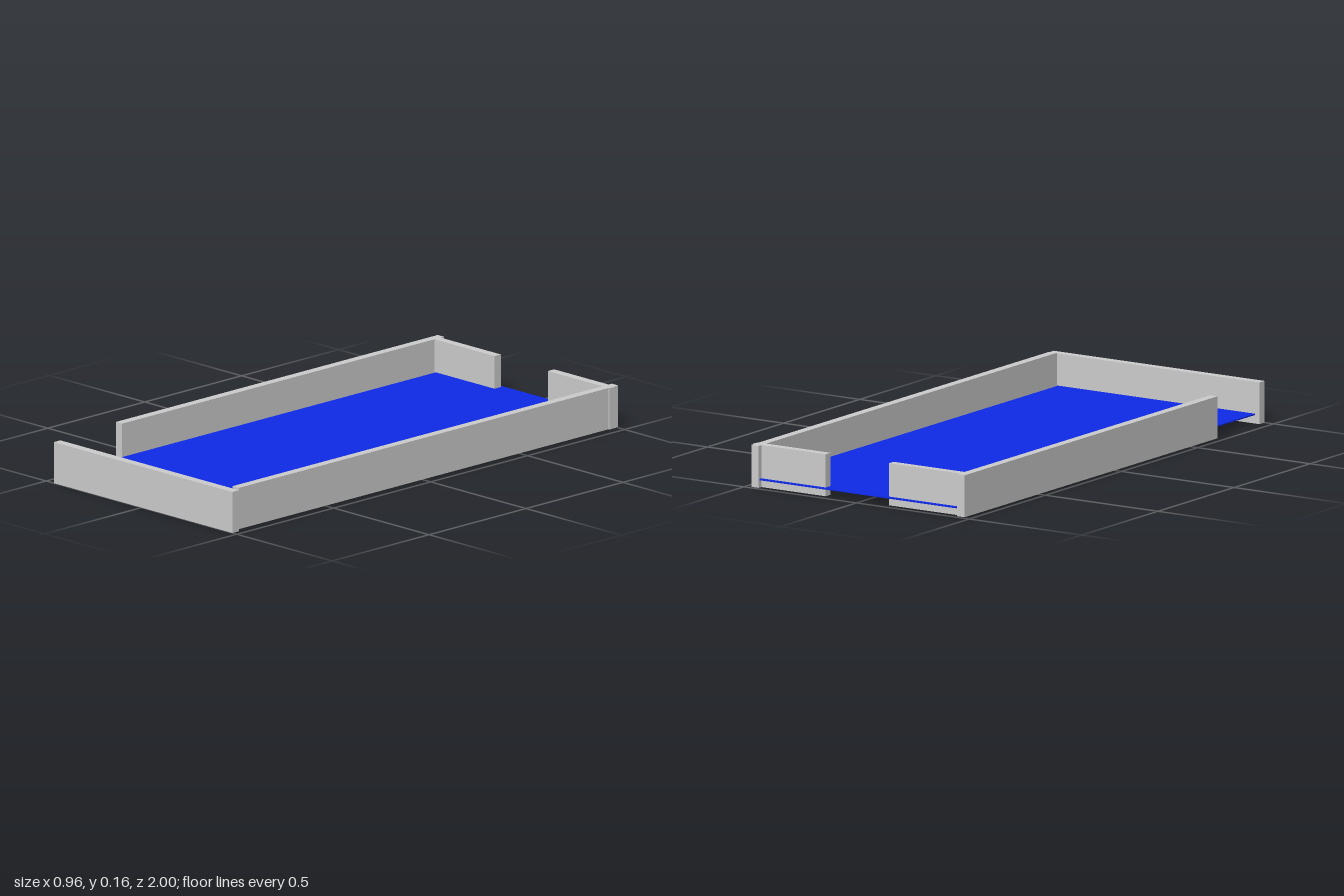
import * as THREE from 'three';

// Box given by its extents along each axis
function slab(name, [x0, x1], [y0, y1], [z0, z1], material) {
  const mesh = new THREE.Mesh(new THREE.BoxGeometry(x1 - x0, y1 - y0, z1 - z0), material);
  mesh.position.set((x0 + x1) / 2, (y0 + y1) / 2, (z0 + z1) / 2);
  mesh.name = name;
  return mesh;
}

export function createModel() {
  const model = new THREE.Group();
  model.name = 'walledTray';
  const grey = new THREE.MeshStandardMaterial({ color: 0xcccccc });
  const blue = new THREE.MeshStandardMaterial({ color: 0x0f2ae6 });
  const height = [0.004, 0.162];

  // Thin floor, set a little above the bottom edge of the walls
  model.add(slab('floor', [-0.44, 0.455], [0.032, 0.037], [-0.996, 0.968], blue));

  // Long side walls; the right one stops short, leaving a gap at the front
  model.add(slab('leftWall', [0.434, 0.467], height, [-1, 0.957], grey));
  model.add(slab('rightWall', [-0.48, -0.447], height, [-1, 0.66], grey));

  // Front wall
  model.add(slab('frontWall', [-0.46, 0.477], [0, 0.157], [0.966, 1], grey));

  // Two back walls with an opening between them
  model.add(slab('backWallLeft', [0.148, 0.472], height, [-0.983, -0.951], grey));
  model.add(slab('backWallRight', [-0.45, -0.132], height, [-0.983, -0.951], grey));

  return model;
}
